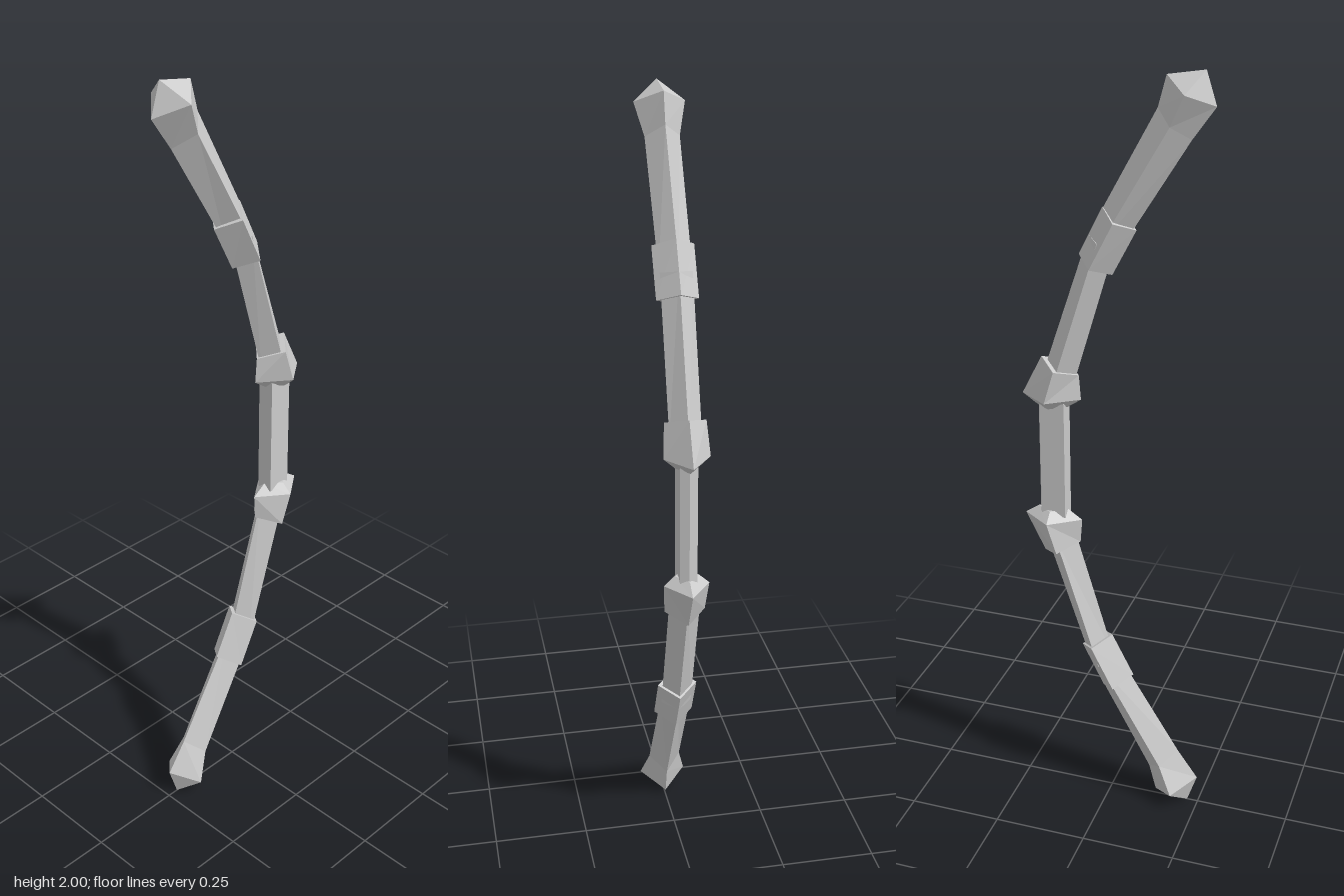
import * as THREE from 'three';

const material = new THREE.MeshStandardMaterial({ color: 0xcccccc, flatShading: true });

// Diamond-section loft. Rings run top to bottom: [leftX, leftY, rightX, rightY, halfDepth].
// With flip set, the part is mirrored about the mid-height y = 1.
function diamondLoft(rings, flip) {
  const corners = rings.map(([xl, yl, xr, yr, d]) => {
    const mx = (xl + xr) / 2, my = (yl + yr) / 2;
    return [[xr, yr, 0], [mx, my, d], [xl, yl, 0], [mx, my, -d]];
  });
  const positions = [];
  const tri = (a, b, c) => {
    for (const [x, y, z] of flip ? [a, c, b] : [a, b, c]) positions.push(x, flip ? 2 - y : y, z);
  };
  for (let i = 0; i < corners.length - 1; i++) {
    const top = corners[i], low = corners[i + 1];
    for (let j = 0; j < 4; j++) {
      const k = (j + 1) % 4;
      tri(top[j], top[k], low[k]);
      tri(top[j], low[k], low[j]);
    }
  }
  // end caps
  const t = corners[0], b = corners[corners.length - 1];
  tri(t[0], t[3], t[2]);
  tri(t[0], t[2], t[1]);
  tri(b[0], b[1], b[2]);
  tri(b[0], b[2], b[3]);
  const geometry = new THREE.BufferGeometry();
  geometry.setAttribute('position', new THREE.Float32BufferAttribute(positions, 3));
  geometry.computeVertexNormals();
  return geometry;
}

const parts = {
  // outer limb with flared, pointed tip
  outerLimb: [
    [-0.22, 2.0, -0.22, 2.0, 0],
    [-0.246, 1.92, -0.128, 1.985, 0.063],
    [-0.19, 1.842, -0.108, 1.91, 0.043],
    [-0.02, 1.57, 0.055, 1.61, 0.041],
  ],
  // collar joining the two limb segments
  limbCollar: [
    [-0.06, 1.62, 0.025, 1.67, 0.052],
    [0.0, 1.505, 0.085, 1.55, 0.052],
  ],
  innerLimb: [
    [-0.008, 1.58, 0.06, 1.6, 0.04],
    [0.105, 1.2, 0.185, 1.225, 0.04],
  ],
  // spiked collar at the end of the grip
  gripCollar: [
    [0.088, 1.235, 0.187, 1.275, 0.052],
    [0.083, 1.17, 0.24, 1.17, 0.058],
    [0.12, 1.145, 0.203, 1.145, 0.03],
  ],
};

export function createModel() {
  const bow = new THREE.Group();
  bow.name = 'bow';

  for (const flip of [false, true]) {
    const half = new THREE.Group();
    half.name = flip ? 'lowerHalf' : 'upperHalf';
    for (const [name, rings] of Object.entries(parts)) {
      const mesh = new THREE.Mesh(diamondLoft(rings, flip), material);
      mesh.name = name;
      half.add(mesh);
    }
    bow.add(half);
  }

  // five-sided grip, ridged along its outer edge
  const section = new THREE.Shape([
    [0.122, -0.022], [0.187, -0.022], [0.197, 0], [0.187, 0.022], [0.122, 0.022],
  ].map(([x, y]) => new THREE.Vector2(x, y)));
  const gripGeometry = new THREE.ExtrudeGeometry(section, { depth: 0.32, bevelEnabled: false });
  gripGeometry.rotateX(-Math.PI / 2).translate(0, 0.84, 0);
  const grip = new THREE.Mesh(gripGeometry, material);
  grip.name = 'grip';
  bow.add(grip);

  return bow;
}
